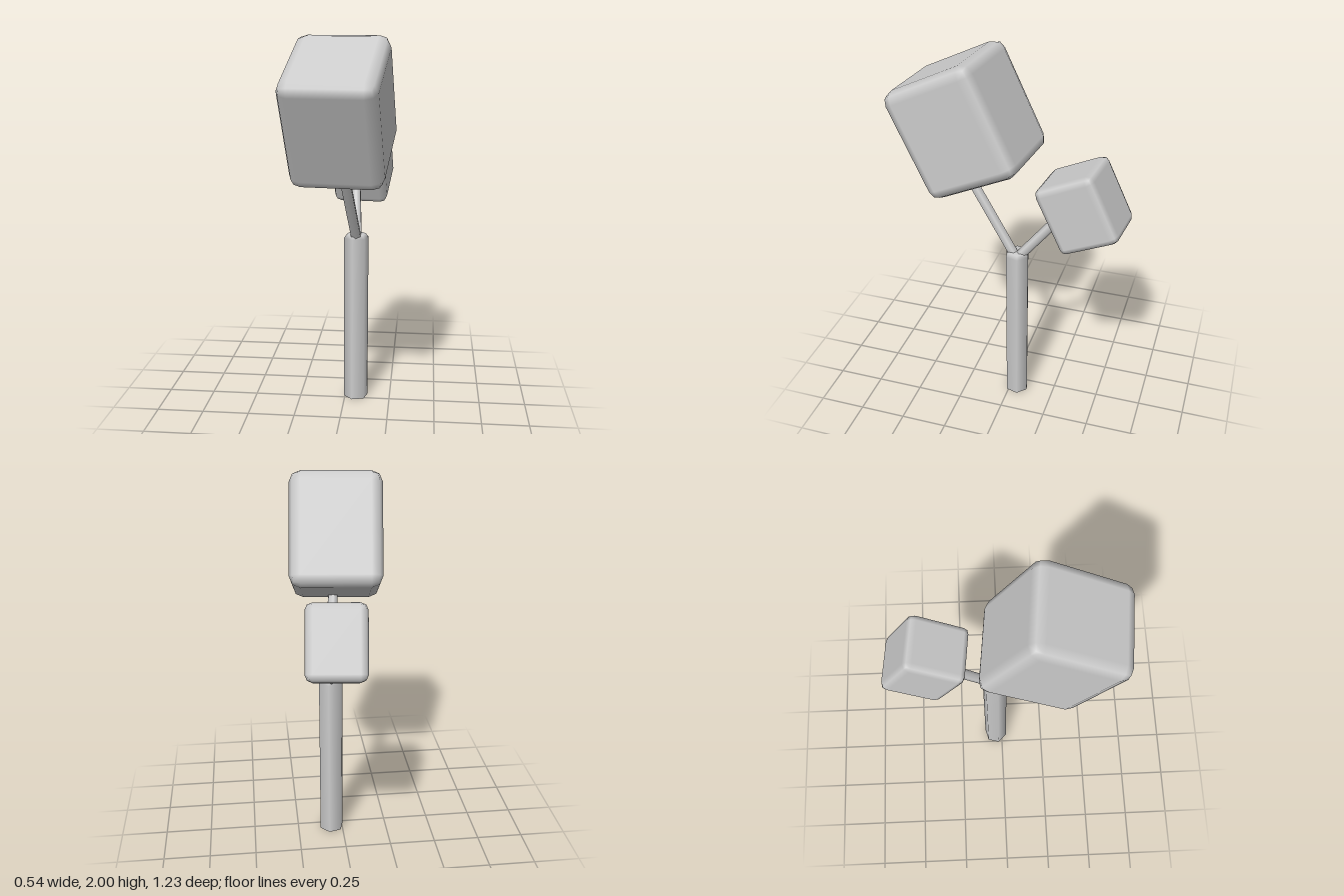
import * as THREE from 'three';
import { RoundedBoxGeometry } from 'three/addons/geometries/RoundedBoxGeometry.js';

const grey = new THREE.MeshStandardMaterial({ color: 0xcccccc });
const open = new THREE.MeshStandardMaterial({ color: 0xcccccc, side: THREE.DoubleSide });
const rad = THREE.MathUtils.degToRad;

// Tilted block of foliage with softly bevelled edges
function foliage(name, scale, x, y, z) {
  const geo = new RoundedBoxGeometry(0.48 * scale, 0.6 * scale, 0.53 * scale, 1, 0.06 * scale);
  const mesh = new THREE.Mesh(geo, grey);
  mesh.name = name;
  mesh.rotation.set(rad(26.5), rad(-6), 0, 'YXZ');
  mesh.position.set(x, y, z);
  return mesh;
}

// Straight six-sided branch between two points
function branch(name, from, to, radius) {
  const a = new THREE.Vector3(...from);
  const b = new THREE.Vector3(...to);
  const dir = b.clone().sub(a);
  const mesh = new THREE.Mesh(new THREE.CylinderGeometry(radius, radius, dir.length(), 6), grey);
  mesh.name = name;
  mesh.position.copy(a).add(b).multiplyScalar(0.5);
  mesh.quaternion.setFromUnitVectors(new THREE.Vector3(0, 1, 0), dir.normalize());
  return mesh;
}

export function createModel() {
  const tree = new THREE.Group();
  tree.name = 'tree';

  // Hexagonal trunk, bevelled at the top and open at the bottom
  const profile = [[0.067, 0], [0.067, 0.925], [0.052, 0.945], [0, 0.945]]
    .map(([r, y]) => new THREE.Vector2(r, y));
  const trunk = new THREE.Mesh(new THREE.LatheGeometry(profile, 6, rad(45)), open);
  trunk.name = 'trunk';
  trunk.position.set(0.06, 0, -0.038);

  tree.add(
    trunk,
    branch('frontBranch', [0.062, 0.925, -0.02], [0.015, 1.36, 0.255], 0.029),
    branch('backBranch', [0.064, 0.925, -0.055], [0.035, 1.23, -0.3], 0.027),
    foliage('largeFoliage', 1, 0, 1.636, 0.248),
    foliage('smallFoliage', 0.625, 0.066, 1.287, -0.39),
  );
  return tree;
}
